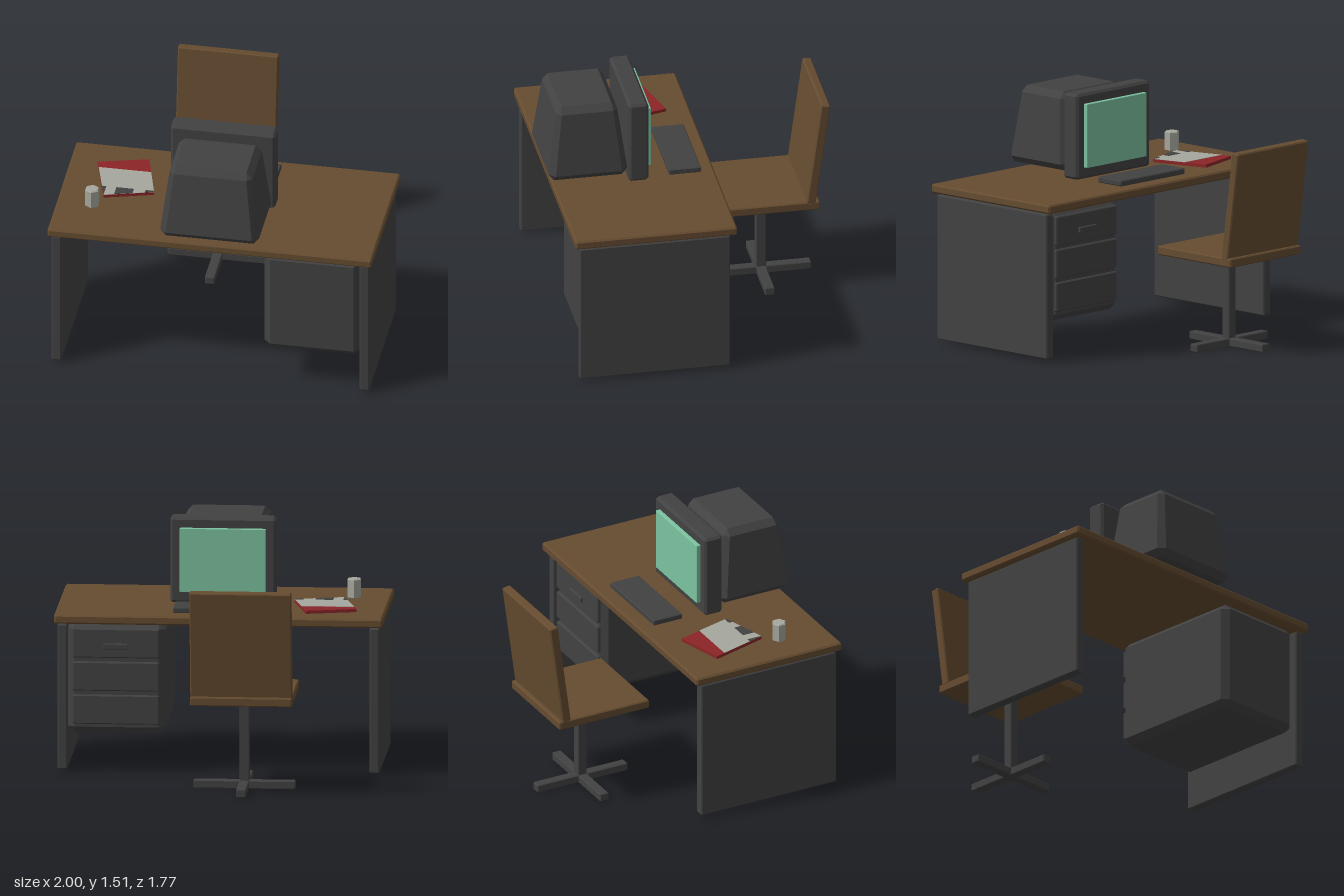
import * as THREE from 'three';
import { ConvexGeometry } from 'three/addons/geometries/ConvexGeometry.js';

const mat = (name, color) => {
  const m = new THREE.MeshStandardMaterial({ color });
  m.name = name;
  return m;
};

export function createModel() {
  const wood = mat('brown wood', 0x664c30);
  const dark = mat('charcoal', 0x424242);
  const green = mat('screen green', 0x7cc3a0);
  const red = mat('book red', 0x8c2527);
  const pale = mat('pale grey', 0xa6a89e);

  const model = new THREE.Group();
  model.name = 'officeDesk';

  const add = (parent, name, geometry, material) => {
    const mesh = new THREE.Mesh(geometry, material);
    mesh.name = name;
    parent.add(mesh);
    return mesh;
  };
  const group = (name) => {
    const g = new THREE.Group();
    g.name = name;
    model.add(g);
    return g;
  };

  // Box with chamfered edges, centred on the origin; taper(p) may move its points
  const chamferBox = (w, h, d, b, taper) => {
    const points = [];
    for (const x of [-1, 1]) for (const y of [-1, 1]) for (const z of [-1, 1])
      for (let axis = 0; axis < 3; axis++) {
        const p = new THREE.Vector3(
          x * (w / 2 - (axis === 0 ? 0 : b)),
          y * (h / 2 - (axis === 1 ? 0 : b)),
          z * (d / 2 - (axis === 2 ? 0 : b)));
        if (taper) taper(p);
        points.push(p);
      }
    return new ConvexGeometry(points);
  };
  // Chamfered box given by its limits
  const block = (parent, name, material, [x0, x1], [y0, y1], [z0, z1], b = 0.007, taper) => {
    const mesh = add(parent, name, chamferBox(x1 - x0, y1 - y0, z1 - z0, b, taper), material);
    mesh.position.set((x0 + x1) / 2, (y0 + y1) / 2, (z0 + z1) / 2);
    return mesh;
  };

  // Desk
  const desk = group('desk');
  block(desk, 'deskTop', wood, [-1, 1], [0.925, 0.98], [-0.14, 0.86], 0.01);
  block(desk, 'rightPanel', dark, [-0.98, -0.92], [0.02, 0.915], [-0.1, 0.83]);
  block(desk, 'leftPanel', dark, [0.92, 0.98], [0.02, 0.915], [-0.1, 0.83]);

  // Drawer cabinet hanging under the desk
  const cabinet = group('drawerCabinet');
  block(cabinet, 'cabinetBody', dark, [0.325, 0.92], [0.24, 0.925], [-0.08, 0.81], 0.04);
  for (let i = 0; i < 3; i++) {
    const top = 0.89 - i * 0.205;
    block(cabinet, 'drawerFront', dark, [0.36, 0.89], [top - 0.18, top], [-0.098, -0.07]);
  }
  block(cabinet, 'drawerHandle', dark, [0.55, 0.7], [0.765, 0.8], [-0.112, -0.09], 0.004);

  // Monitor
  const monitor = group('monitor');
  block(monitor, 'monitorFrame', dark, [-0.322, 0.322], [0.985, 1.513], [0.278, 0.4], 0.015);
  block(monitor, 'screen', green, [-0.262, 0.262], [1.055, 1.45], [0.252, 0.29], 0.003);
  block(monitor, 'monitorHousing', dark, [-0.31, 0.31], [1.018, 1.492], [0.395, 0.893], 0.04, (p) => {
    // narrows evenly toward the top
    const t = (p.y + 0.237) / 0.474;
    p.x *= 1 - 0.19 * t;
    p.z *= 1 - 0.26 * t;
  });

  block(model, 'keyboard', dark, [-0.28, 0.28], [0.985, 1.02], [-0.053, 0.145], 0.005);

  // Flat plate from [x, z] corners, rising from height y
  const plate = (parent, name, material, corners, y, depth) => {
    const shape = new THREE.Shape(corners.map(([x, z]) => new THREE.Vector2(x, -z)));
    const g = new THREE.ExtrudeGeometry(shape, { depth, bevelEnabled: false });
    g.rotateX(-Math.PI / 2);
    add(parent, name, g, material).position.y = y;
  };

  // Magazine with printed cover
  const book = group('magazine');
  plate(book, 'magazineBody', red, [[-0.828, 0.09], [-0.524, 0.008], [-0.43, 0.365], [-0.727, 0.45]], 0.98, 0.019);
  plate(book, 'coverPanel', pale, [[-0.811, 0.15], [-0.487, 0.15], [-0.43, 0.365], [-0.727, 0.45]], 0.999, 0.002);
  const marks = [
    [[-0.754, 0.355], [-0.727, 0.355], [-0.727, 0.45]],
    [[-0.665, 0.355], [-0.557, 0.355], [-0.557, 0.401], [-0.665, 0.432]],
    [[-0.485, 0.355], [-0.433, 0.355], [-0.43, 0.365], [-0.485, 0.381]],
  ];
  for (const corners of marks) plate(book, 'coverMark', dark, corners, 1.001, 0.0015);

  // Six-sided cup
  const cup = new THREE.LatheGeometry(
    [[0, 0], [0.04, 0], [0.046, 0.006], [0.046, 0.114], [0.04, 0.12], [0, 0.12]]
      .map(([r, y]) => new THREE.Vector2(r, y)), 6).toNonIndexed();
  cup.computeVertexNormals();
  add(model, 'cup', cup, pale).position.set(-0.78, 0.98, 0.542);

  // Chair
  const chair = group('chair');
  block(chair, 'seat', wood, [-0.5, 0.12], [0.562, 0.617], [-0.82, -0.2]);
  const back = add(chair, 'backrest', chamferBox(0.62, 0.675, 0.056, 0.007), wood);
  back.position.set(-0.19, 0.941, -0.812);
  back.rotation.x = -0.135;
  block(chair, 'post', dark, [-0.22, -0.16], [0.03, 0.57], [-0.54, -0.48], 0.005);
  block(chair, 'footAcross', dark, [-0.5, 0.12], [0, 0.05], [-0.54, -0.48], 0.005);
  block(chair, 'footAlong', dark, [-0.22, -0.16], [0, 0.05], [-0.82, -0.2], 0.005);

  return model;
}
